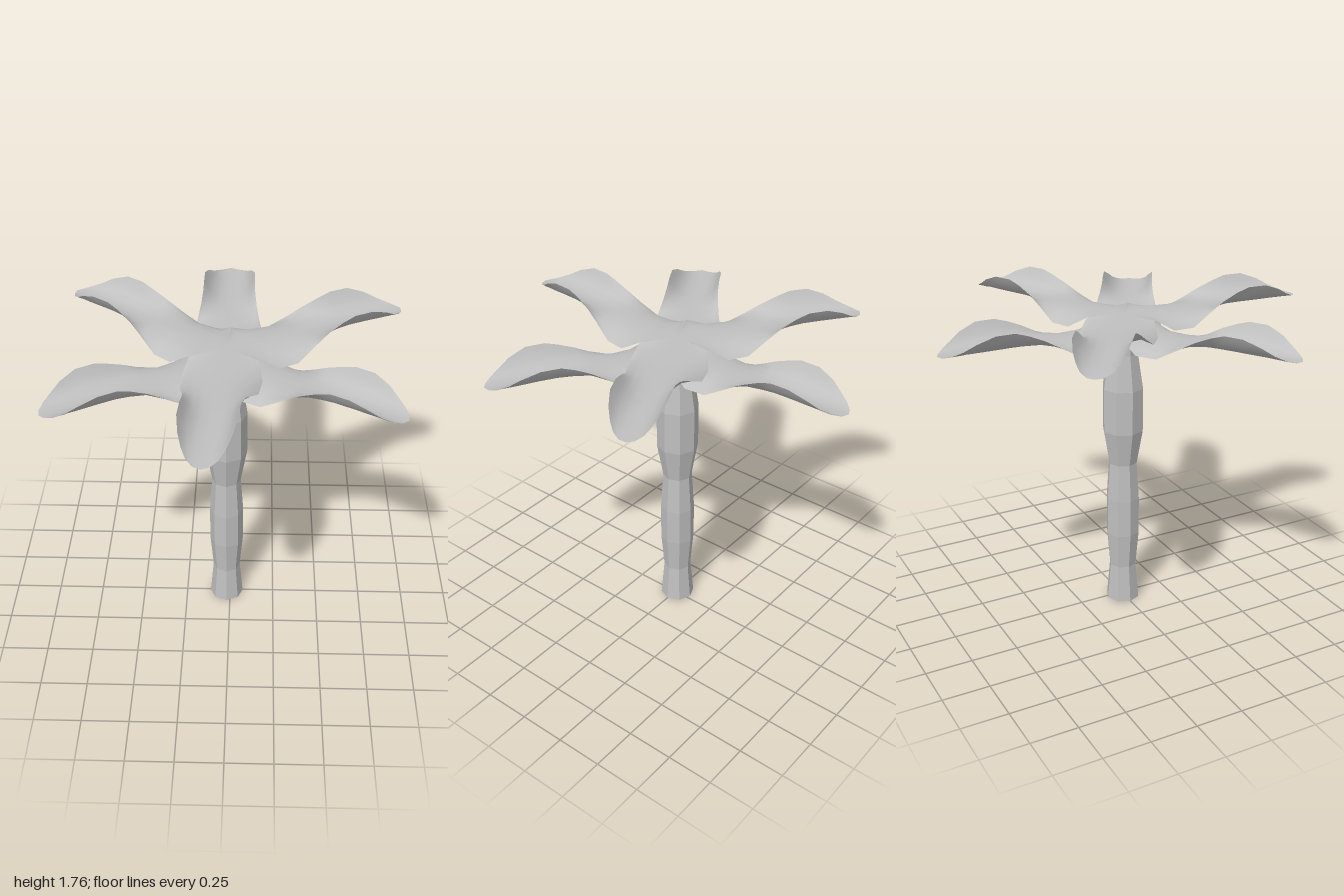
import * as THREE from 'three';

const bark = new THREE.MeshStandardMaterial({ color: 0xc0c0c0, flatShading: true });
bark.name = 'light grey bark';
const frond = new THREE.MeshStandardMaterial({ color: 0xc0c0c0, side: THREE.DoubleSide });
frond.name = 'light grey frond';

// Frond stations: [distance from trunk, half width, edge height]
const stations = [
  [0, 0, 0], [0.1, 0.172, 0], [0.2, 0.2, -0.058], [0.31, 0.19, -0.06],
  [0.42, 0.163, 0], [0.5, 0.148, 0.045], [0.58, 0.14, 0.08], [0.65, 0.138, 0.103],
  [0.75, 0.137, 0.103], [0.84, 0.12, 0.07], [0.9, 0.097, 0.035], [0.95, 0.07, 0.012],
  [0.985, 0.036, 0], [1, 0, 0],
];
const across = [-1, -0.85, -0.65, -0.35, 0, 0.35, 0.65, 0.85, 1];

// Flat midrib, edges drooping near the trunk and curling up near the tip
function frondGeometry() {
  const positions = [], index = [], n = across.length;
  for (const [s, half, lift] of stations) {
    for (const u of across) positions.push(half * u, lift * Math.abs(u) ** 3, s);
  }
  for (let i = 0; i < stations.length - 1; i++) {
    for (let j = 0; j < n - 1; j++) {
      const a = i * n + j, b = a + n;
      // Skip the collapsed triangles at the root and the tip
      if (i > 0) index.push(a, b, a + 1);
      if (i < stations.length - 2) index.push(a + 1, b, b + 1);
      if (i === 0) continue;
    }
  }
  const g = new THREE.BufferGeometry();
  g.setAttribute('position', new THREE.Float32BufferAttribute(positions, 3));
  g.setIndex(index);
  g.computeVertexNormals();
  return g;
}

export function createModel() {
  const tree = new THREE.Group();
  tree.name = 'palmTree';

  // Eight-sided bulging trunk, closed at both ends
  const profile = [
    [0, 0], [0.093, 0], [0.075, 0.21], [0.092, 0.41], [0.092, 0.62], [0.078, 0.83],
    [0.111, 1.02], [0.111, 1.26], [0.082, 1.45], [0.082, 1.65], [0, 1.65],
  ].map(([r, y]) => new THREE.Vector2(r, y));
  const trunk = new THREE.Mesh(new THREE.LatheGeometry(profile, 8), bark);
  trunk.name = 'trunk';
  tree.add(trunk);

  // Two tiers of three fronds
  const geometry = frondGeometry();
  for (const [name, y, turn] of [['lowerFronds', 1.58, Math.PI], ['upperFronds', 1.657, -0.084]]) {
    const tier = new THREE.Group();
    tier.name = name;
    tier.position.y = y;
    for (let k = 0; k < 3; k++) {
      const leaf = new THREE.Mesh(geometry, frond);
      leaf.name = 'frond';
      leaf.rotation.y = turn + (k * Math.PI * 2) / 3;
      tier.add(leaf);
    }
    tree.add(tier);
  }

  tree.position.x = -0.02;
  const model = new THREE.Group();
  model.name = 'model';
  model.add(tree);
  return model;
}
